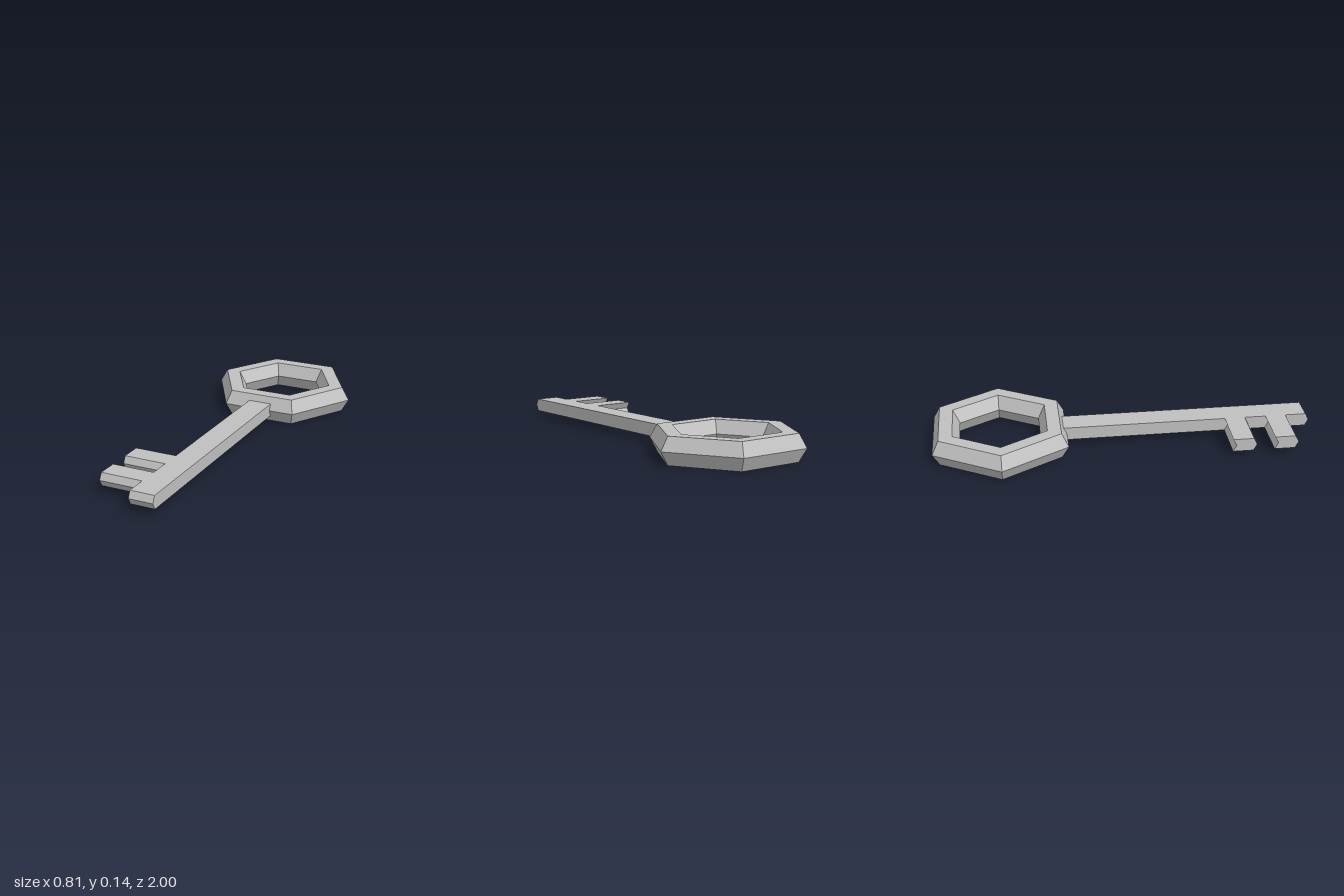
import * as THREE from 'three';

const MID = 0.07; // height of the key's middle plane

export function createModel() {
  const key = new THREE.Group();
  key.name = 'key';
  const metal = new THREE.MeshStandardMaterial({ color: 0xc0c0c0, flatShading: true });
  metal.name = 'grey metal';

  // Hexagonal ring handle with a hexagonal section
  const ring = new THREE.TorusGeometry(0.322, 0.081, 6, 6);
  ring.rotateX(-Math.PI / 2);
  const handle = new THREE.Mesh(ring, metal);
  handle.name = 'ringHandle';
  handle.position.set(0, MID, -0.651);
  key.add(handle);

  // Shaft with two teeth, as one outline in x and z
  const outline = [
    [-0.065, -0.37], [-0.065, 0.54], [-0.29, 0.54], [-0.29, 0.648],
    [-0.065, 0.648], [-0.065, 0.76], [-0.29, 0.76], [-0.29, 0.868],
    [-0.065, 0.868], [-0.065, 0.98], [0.065, 0.98], [0.065, -0.37],
  ];
  const shape = new THREE.Shape(outline.map(([x, z]) => new THREE.Vector2(x, -z)));
  const blade = new THREE.ExtrudeGeometry(shape, { depth: 0.07, steps: 2, bevelEnabled: false });
  blade.rotateX(-Math.PI / 2);
  blade.translate(0, MID - 0.035, 0);

  // Push the middle layer forward, giving the ends a ridge and the tooth backs a groove
  const p = blade.attributes.position;
  for (let i = 0; i < p.count; i++) {
    if (Math.abs(p.getY(i) - MID) < 0.01) p.setZ(i, p.getZ(i) + 0.018);
  }
  blade.computeVertexNormals();
  const shaft = new THREE.Mesh(blade, metal);
  shaft.name = 'shaftAndTeeth';
  key.add(shaft);

  return key;
}
